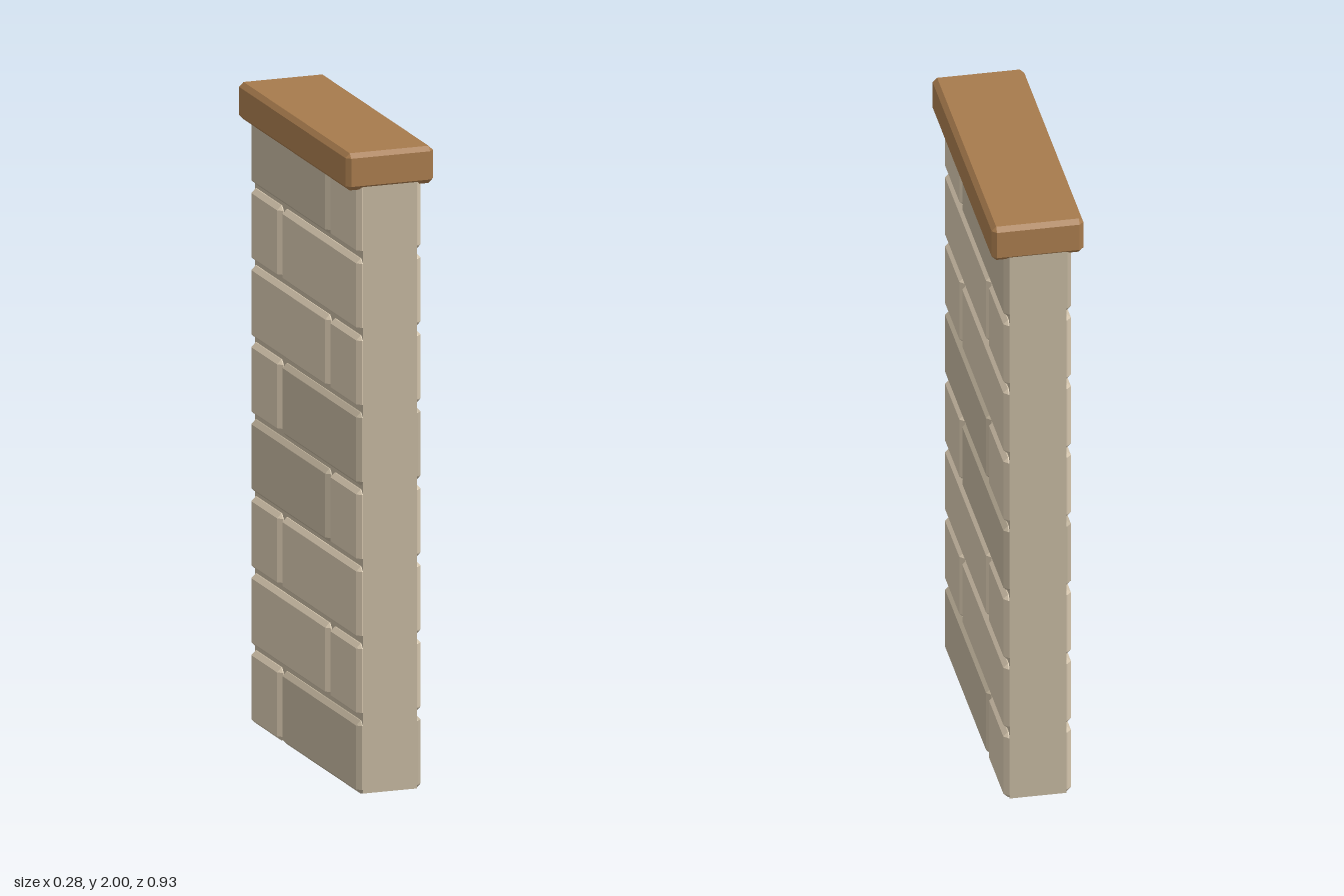
import * as THREE from 'three';
import { ConvexGeometry } from 'three/addons/geometries/ConvexGeometry.js';

// Box with every edge chamfered by c: each corner becomes three points
function chamferedBox(w, h, d, c) {
  const half = [w / 2, h / 2, d / 2];
  const points = [];
  for (const sx of [-1, 1]) for (const sy of [-1, 1]) for (const sz of [-1, 1]) {
    for (let full = 0; full < 3; full++) {
      const [x, y, z] = half.map((v, i) => (i === full ? v : v - c));
      points.push(new THREE.Vector3(sx * x, sy * y, sz * z));
    }
  }
  return new ConvexGeometry(points);
}

export function createModel() {
  const model = new THREE.Group();
  model.name = 'brickWall';

  const material = (color) => new THREE.MeshStandardMaterial({ color, flatShading: true });
  const lightStone = material(0xd3c4ac);
  const darkStone = material(0xc0b39c);
  const wood = material(0xa67a4c);

  const add = (name, geometry, mat, y, z = 0, parent = model) => {
    const mesh = new THREE.Mesh(geometry, mat);
    mesh.name = name;
    mesh.position.set(0, y, z);
    parent.add(mesh);
  };

  // Mortar core, flush at both narrow ends
  add('mortarCore', new THREE.BoxGeometry(0.174, 1.897, 0.924), darkStone, 0.9515);

  // Courses of one long and one short brick, swapping ends each row;
  // every brick runs through the wall and shows on both broad faces
  const bricks = new THREE.Group();
  bricks.name = 'bricks';
  model.add(bricks);
  const rows = 8, pitch = 0.24, height = 0.227, bevel = 0.014;
  const longBrick = chamferedBox(0.208, height, 0.657, bevel);
  const shortBrick = chamferedBox(0.208, height, 0.247, bevel);
  const darkRows = [0, 3, 4, 7];
  for (let i = 0; i < rows; i++) {
    const y = i * pitch + height / 2;
    const side = i % 2 === 0 ? 1 : -1;
    add('longBrick', longBrick, darkRows.includes(i) ? darkStone : lightStone, y, side * 0.1325, bricks);
    add('shortBrick', shortBrick, lightStone, y, side * -0.3375, bricks);
  }

  // Overhanging wooden coping
  add('cap', chamferedBox(0.282, 0.116, 0.934, 0.014), wood, 1.942);

  return model;
}
